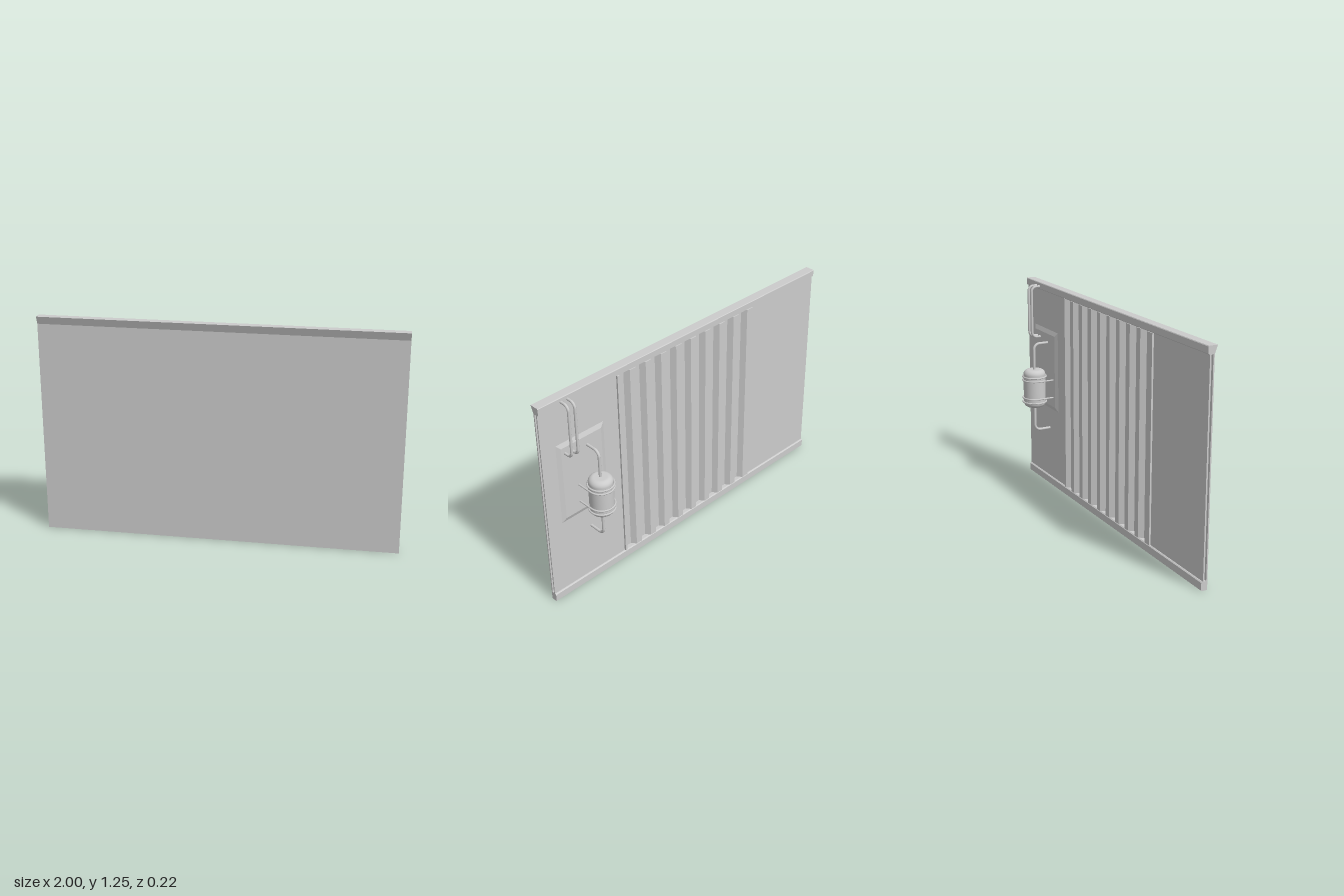
import * as THREE from 'three';

const material = new THREE.MeshStandardMaterial({ color: 0xcccccc });
const V = (x, y, z) => new THREE.Vector3(x, y, z);

function add(parent, name, geometry) {
  const mesh = new THREE.Mesh(geometry, material);
  mesh.name = name;
  parent.add(mesh);
  return mesh;
}

// Horizontal rail: a [z, y] profile swept over the full width.
function rail(profile) {
  const shape = new THREE.Shape(profile.map(([z, y]) => new THREE.Vector2(-z, y)));
  const g = new THREE.ExtrudeGeometry(shape, { depth: 2, bevelEnabled: false });
  return g.rotateY(Math.PI / 2).translate(-1, 0, 0);
}

// Pipe through the given points with rounded corners.
function bentPipe(points, radius, bend) {
  const path = new THREE.CurvePath();
  let from = points[0];
  for (let i = 1; i < points.length - 1; i++) {
    const p = points[i];
    const a = p.clone().add(points[i - 1].clone().sub(p).setLength(bend));
    const b = p.clone().add(points[i + 1].clone().sub(p).setLength(bend));
    const mid = 0.55;
    path.add(new THREE.LineCurve3(from, a));
    path.add(new THREE.CubicBezierCurve3(a, a.clone().lerp(p, mid), b.clone().lerp(p, mid), b));
    from = b;
  }
  path.add(new THREE.LineCurve3(from, points[points.length - 1]));
  return new THREE.TubeGeometry(path, 96, radius, 12, false);
}

export function createModel() {
  const model = new THREE.Group();
  model.name = 'wallPanel';

  const front = 0.094, back = 0.068, land = 0.058, floor = 0.086;

  // Wall sheet in plan, with end channels and nine corrugation grooves
  const plan = [[-1, front], [1, front], [1, 0.087], [0.985, 0.087],
    [0.985, 0.075], [1, 0.075], [1, back], [0.5, back], [0.5, land]];
  let x = 0.487;
  for (let i = 0; i < 9; i++) {
    plan.push([x, land], [x - 0.02, floor], [x - 0.05, floor], [x - 0.07, land]);
    x -= 0.108;
  }
  plan.push([-0.495, land], [-0.495, back], [-1, back], [-1, 0.075],
    [-0.985, 0.075], [-0.985, 0.087], [-1, 0.087]);
  const planShape = new THREE.Shape(plan.map(([px, pz]) => new THREE.Vector2(px, -pz)));
  const sheet = new THREE.ExtrudeGeometry(planShape, { depth: 1.157, bevelEnabled: false });
  add(model, 'corrugatedSheet', sheet.rotateX(-Math.PI / 2).translate(0, 0.05, 0));

  // Top and bottom rails
  add(model, 'topRail', rail([[front, 1.207], [0.11, 1.25], [0.061, 1.25],
    [land, 1.246], [land, 1.212], [0.064, 1.207]]));
  add(model, 'bottomRail', rail([[front, 0], [front, 0.05], [0.064, 0.05],
    [land, 0.045], [land, 0.004], [0.062, 0]]));

  // Raised pad with sloping edges behind the tank
  const pad = new THREE.Shape([[0.625, 0.515], [0.885, 0.515], [0.885, 0.955], [0.625, 0.955]]
    .map(([px, py]) => new THREE.Vector2(px, py)));
  add(model, 'raisedPad', new THREE.ExtrudeGeometry(pad, {
    depth: 0.002, bevelThickness: 0.01, bevelSize: 0.025, bevelSegments: 1,
  }).translate(0, 0, back));

  // Pair of looped pipes near the top
  for (const px of [0.82, 0.86]) {
    add(model, 'loopPipe', bentPipe([V(px, 1.225, 0.07), V(px, 1.225, 0.005),
      V(px, 0.918, 0.005), V(px, 0.918, 0.072)], 0.0075, 0.03));
  }

  // Tank with rounded ends
  const tank = new THREE.Group();
  tank.name = 'tankAssembly';
  tank.position.set(0.72, 0, -0.032);
  model.add(tank);
  const R = 0.066, r = 0.03, low = 0.515, high = 0.747;
  const profile = [new THREE.Vector2(0, low)];
  for (let i = 0; i <= 8; i++) {
    const a = -Math.PI / 2 + (i / 8) * (Math.PI / 2);
    profile.push(new THREE.Vector2(R - r + r * Math.cos(a), low + r + r * Math.sin(a)));
  }
  for (let i = 0; i <= 8; i++) {
    const a = (i / 8) * (Math.PI / 2);
    profile.push(new THREE.Vector2(R - r + r * Math.cos(a), high - r + r * Math.sin(a)));
  }
  profile.push(new THREE.Vector2(0, high));
  add(tank, 'tank', new THREE.LatheGeometry(profile, 40));

  // Tank feed pipes bending into the wall
  for (const [name, inner, outer] of [['upperPipe', 0.74, 0.901], ['lowerPipe', 0.52, 0.363]]) {
    add(tank, name, bentPipe([V(0, inner, 0), V(0, outer, 0), V(0, outer, 0.103)], 0.008, 0.035));
  }

  // Bands around the tank
  for (const y of [0.704, 0.548]) {
    const band = new THREE.TorusGeometry(0.07, 0.005, 8, 48).rotateX(Math.PI / 2);
    add(tank, 'tankBand', band.translate(0, y, 0));
  }

  // U-shaped clamps reaching the wall
  for (const y of [0.683, 0.574]) {
    const points = [V(0.07, y, 0.102), V(0.07, y, 0.05)];
    for (let i = 0; i <= 16; i++) {
      const a = (i / 16) * Math.PI;
      points.push(V(0.07 * Math.cos(a), y, -0.07 * Math.sin(a)));
    }
    points.push(V(-0.07, y, 0.05), V(-0.07, y, 0.102));
    add(tank, 'tankClamp', new THREE.TubeGeometry(new THREE.CatmullRomCurve3(points), 80, 0.005, 8));
  }

  return model;
}
